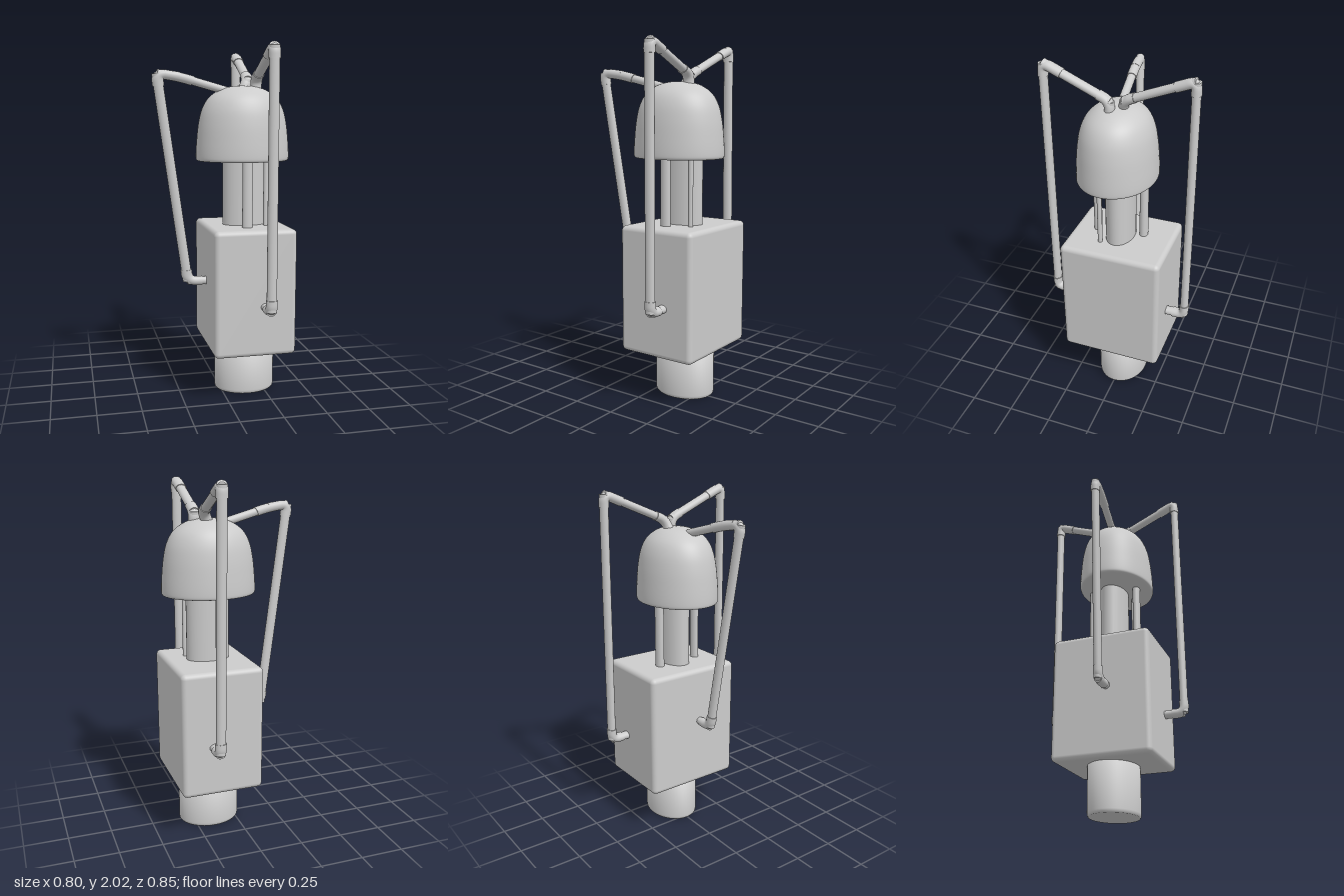
import * as THREE from 'three';
import { RoundedBoxGeometry } from 'three/addons/geometries/RoundedBoxGeometry.js';

const grey = new THREE.MeshStandardMaterial({ color: 0xcccccc });
const SQUASH = 0.8; // pipes are slightly oval: narrower in y and z than in x

function add(parent, name, geometry, x = 0, y = 0, z = 0) {
  const mesh = new THREE.Mesh(geometry, grey);
  mesh.name = name;
  mesh.position.set(x, y, z);
  parent.add(mesh);
  return mesh;
}

// Upright oval rod between two heights
function ovalRod(parent, name, x, z, rx, rz, y0, y1) {
  const mesh = add(parent, name, new THREE.CylinderGeometry(1, 1, y1 - y0, 32), x, (y0 + y1) / 2, z);
  mesh.scale.set(rx, 1, rz);
}

// Tube with closed ends
function closedTube(parent, name, path, segments, radius) {
  add(parent, name, new THREE.TubeGeometry(path, segments, radius, 20, false));
  for (const t of [0, 1]) {
    const cap = add(parent, name + 'End', new THREE.CircleGeometry(radius, 20));
    const p = path.getPoint(t);
    const dir = path.getTangent(t).multiplyScalar(t ? 1 : -1);
    cap.position.copy(p);
    cap.quaternion.setFromUnitVectors(new THREE.Vector3(0, 0, 1), dir);
  }
}

// Straight pipes joined by slightly thicker bent elbows
function pipeRun(parent, name, coords) {
  const group = new THREE.Group();
  group.name = name;
  group.scale.set(1, SQUASH, SQUASH);
  parent.add(group);
  const pts = coords.map(([x, y, z]) => new THREE.Vector3(x, y / SQUASH, z / SQUASH));
  const last = pts.length - 1;
  for (let i = 0; i < last; i++) {
    closedTube(group, 'pipe', new THREE.LineCurve3(pts[i], pts[i + 1]), 1, 0.0285);
  }
  for (let i = 1; i < last; i++) {
    const c = pts[i];
    const toward = (q, d) => {
      const v = q.clone().sub(c);
      return c.clone().addScaledVector(v.normalize(), Math.min(d, q.distanceTo(c)));
    };
    const sleeve = i === 2 ? 0.14 : 0.085;
    const a = toward(pts[i - 1], 0.055), b = toward(pts[i + 1], 0.055);
    const path = new THREE.CurvePath();
    const start = toward(pts[i - 1], 0.085), end = toward(pts[i + 1], sleeve);
    if (start.distanceTo(a) > 0.001) path.add(new THREE.LineCurve3(start, a));
    path.add(new THREE.QuadraticBezierCurve3(a, c, b));
    if (end.distanceTo(b) > 0.001) path.add(new THREE.LineCurve3(b, end));
    closedTube(group, 'elbow', path, 28, 0.033);
  }
}

export function createModel() {
  const model = new THREE.Group();
  model.name = 'pipedTower';

  // Oval foot with softened lower rim
  const footProfile = [[0, 0], [0.95, 0], [0.99, 0.008], [1, 0.02], [1, 0.29], [0, 0.29]]
    .map(([r, y]) => new THREE.Vector2(r, y));
  add(model, 'foot', new THREE.LatheGeometry(footProfile, 48), 0.15, 0, -0.005).scale.set(0.18, 1, 0.145);

  // Main housing
  add(model, 'housing', new RoundedBoxGeometry(0.475, 0.725, 0.582, 4, 0.028), 0.145, 0.641, 0);

  // Central column and the slim rods around it
  ovalRod(model, 'column', 0.14, 0.01, 0.125, 0.08, 0.98, 1.4);
  ovalRod(model, 'frontRod', 0.125, 0.156, 0.03, 0.022, 0.98, 1.4);
  ovalRod(model, 'backRod', 0.1, -0.112, 0.03, 0.024, 0.98, 1.4);
  ovalRod(model, 'thinRod', 0.25, 0.095, 0.015, 0.013, 0.98, 1.4);

  // Oval dome: rounded rim, then a smooth bell curve
  const bell = new THREE.SplineCurve([
    [0.93, 1.375], [0.985, 1.381], [1, 1.405], [0.985, 1.48], [0.945, 1.58], [0.87, 1.665],
    [0.73, 1.73], [0.5, 1.775], [0.25, 1.795], [0, 1.8],
  ].map(([r, y]) => new THREE.Vector2(r, y))).getPoints(50);
  bell[bell.length - 1].x = 0;
  add(model, 'dome', new THREE.LatheGeometry(bell, 64), 0.125, 0, 0.03).scale.set(0.27, 1, 0.22);
  const under = add(model, 'domeUnderside', new THREE.CircleGeometry(0.935, 64), 0.125, 1.3752, 0.03);
  under.rotation.x = Math.PI / 2;
  under.scale.set(0.27, 0.22, 1);

  // Outer pipes from the housing up and over to the dome
  pipeRun(model, 'frontPipe', [
    [0.2, 0.568, 0.27], [0.2, 0.568, 0.402], [0.2, 1.992, 0.402], [0.2, 1.835, 0.042], [0.2, 1.78, 0.045],
  ]);
  pipeRun(model, 'backPipe', [
    [0.2, 0.568, -0.27], [0.2, 0.568, -0.397], [0.188, 1.995, -0.397], [0.168, 1.835, -0.02], [0.14, 1.78, -0.01],
  ]);
  pipeRun(model, 'sidePipe', [
    [-0.07, 0.68, 0.04], [-0.2, 0.68, 0.035], [-0.372, 1.86, 0.08], [-0.25, 1.843, 0.07], [0.02, 1.772, 0.04],
  ]);
  return model;
}
